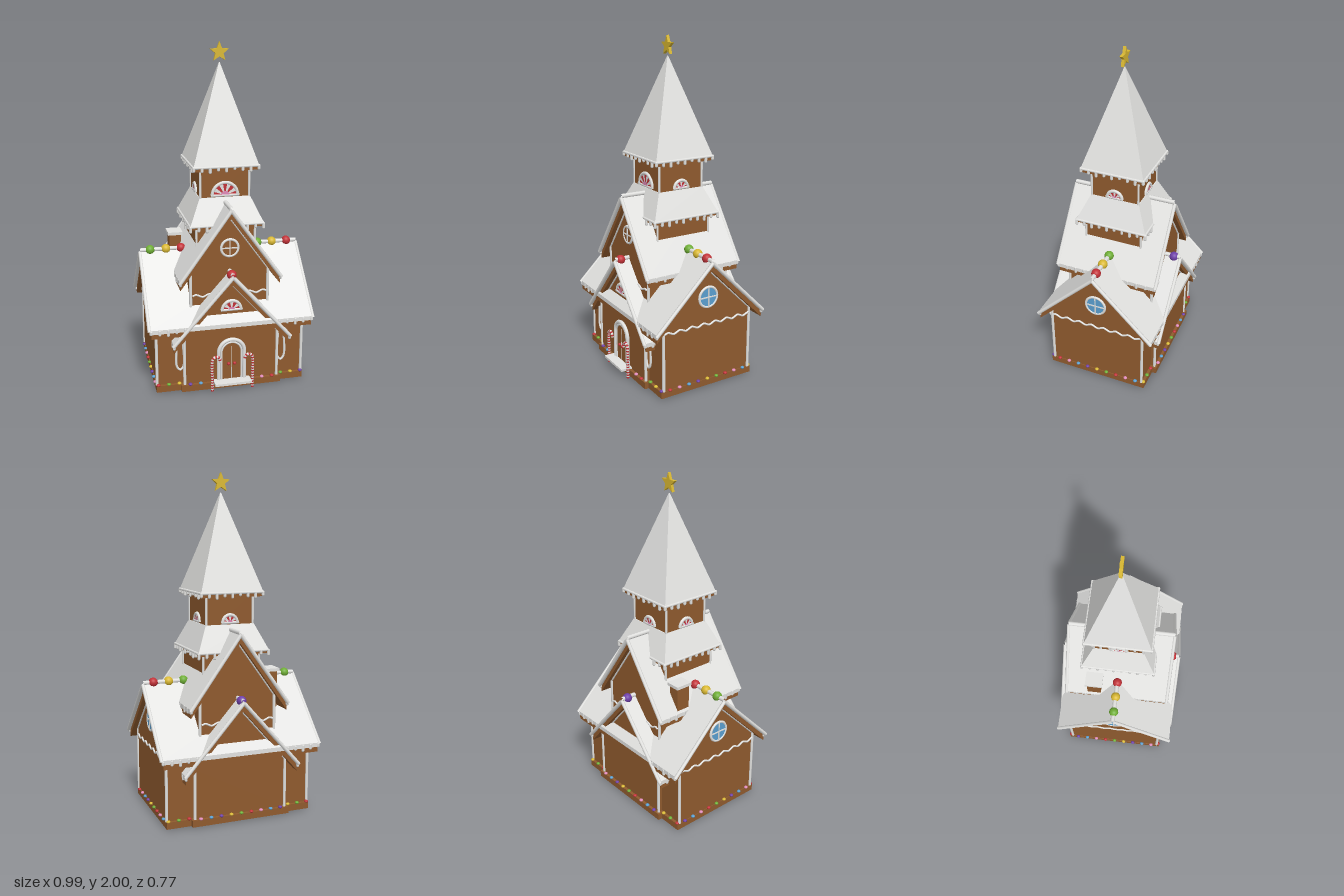
import * as THREE from 'three';
import { mergeGeometries } from 'three/addons/utils/BufferGeometryUtils.js';

export function createModel() {
  const mat = (name, color, side = THREE.FrontSide) => {
    const m = new THREE.MeshStandardMaterial({ color, side });
    m.name = name;
    return m;
  };
  const icing = mat('icing', 0xe2e2e0), bread = mat('gingerbread', 0x8f5a2e), red = mat('red candy', 0xc23238);
  const green = mat('green candy', 0x6fae35), yellow = mat('yellow candy', 0xd9b832), purple = mat('purple candy', 0x6e3fa8);
  const blue = mat('blue glaze', 0x5a9fd0), pink = mat('pink candy', 0xe08ab8);
  const candy = [red, green, yellow, purple, blue, pink];
  const V = (x, y, z) => new THREE.Vector3(x, y, z);

  const root = new THREE.Group();
  const house = new THREE.Group();
  house.name = 'house';
  house.position.z = -0.01;
  root.add(house);

  const add = (parent, name, geo, material, x = 0, y = 0, z = 0) => {
    const m = new THREE.Mesh(geo, material);
    m.name = name;
    m.position.set(x, y, z);
    parent.add(m);
    return m;
  };
  const group = (name, ry = 0, parent = house) => {
    const g = new THREE.Group();
    g.name = name;
    g.rotation.y = ry;
    parent.add(g);
    return g;
  };
  const box = (p, name, m, w, h, d, x, y, z) => add(p, name, new THREE.BoxGeometry(w, h, d), m, x, y, z);
  const tube = (p, name, pts, r, m = icing, seg = 1) => {
    const curve = pts.length === 2 ? new THREE.LineCurve3(...pts) : new THREE.CatmullRomCurve3(pts);
    return add(p, name, new THREE.TubeGeometry(curve, pts.length === 2 ? 1 : seg, r, 8), m);
  };
  // extruded polygon centred along z
  const prism = (pts, depth) => new THREE.ExtrudeGeometry(new THREE.Shape(pts.map(([x, y]) => new THREE.Vector2(x, y))),
    { depth, bevelEnabled: false }).translate(0, 0, -depth / 2);
  // four-sided frustum with flat faces
  const frustum = (top, bottom, h) => {
    const g = new THREE.CylinderGeometry(top * Math.SQRT2, bottom * Math.SQRT2, h, 4).rotateY(Math.PI / 4).toNonIndexed();
    g.computeVertexNormals();
    return g;
  };
  // drips of varying length hanging between two points
  const drips = (p, a, b, step = 0.055) => {
    const n = Math.max(1, Math.round(a.distanceTo(b) / step)), parts = [];
    for (let i = 0; i <= n; i++) {
      const q = a.clone().lerp(b, i / n), len = 0.012 + 0.016 * ((i * 7 % 5) / 4);
      parts.push(new THREE.CapsuleGeometry(0.009, len, 3, 8).translate(q.x, q.y - len / 2, q.z));
    }
    add(p, 'icingDrips', mergeGeometries(parts), icing);
  };
  // wavy piped garland along local x
  const garland = (p, x0, x1, y, z) => {
    const n = Math.round((x1 - x0) / 0.02);
    const pts = Array.from({ length: n + 1 }, (_, i) => V(x0 + (x1 - x0) * i / n, y + 0.008 * Math.sin(i * 1.57), z));
    tube(p, 'icingGarland', pts, 0.006, icing, n * 2);
  };

  // gabled block along local z: walls, bread roof boards, icing layer and piped edges
  function gable(name, ry, { wall, base, len, span, eave, ridge, roofLen }) {
    const g = group(name, ry), s = (ridge - eave) / span, board = ridge - 0.025, under = ridge - 0.06;
    add(g, 'walls', prism([[-wall, base], [wall, base], [wall, under - s * wall], [0, under], [-wall, under - s * wall]], len), bread);
    const chevron = (top, bot, w, l) => prism([[-w, top - s * w], [-w, bot - s * w], [0, bot], [w, bot - s * w], [w, top - s * w], [0, top]], l);
    add(g, 'roofBoards', chevron(board, under, span - 0.005, roofLen - 0.02), bread);
    add(g, 'roofIcing', chevron(ridge, board, span, roofLen), icing);
    tube(g, 'ridgeIcing', [V(0, ridge, -roofLen / 2), V(0, ridge, roofLen / 2)], 0.013);
    for (const e of [-1, 1]) for (const q of [-1, 1]) {
      const z = e * roofLen / 2;
      tube(g, 'edgeIcing', [V(0, ridge - 0.01, z), V(q * span, eave - 0.01, z)], 0.011);
      tube(g, 'gableIcing', [V(0, under, e * len / 2), V(q * wall, under - s * wall, e * len / 2)], 0.007);
      tube(g, 'cornerIcing', [V(q * wall, base, e * len / 2), V(q * wall, under - s * wall, e * len / 2)], 0.009);
    }
    return g;
  }
  const main = gable('mainBlock', Math.PI / 2, { wall: 0.295, base: 0.05, len: 0.88, span: 0.365, eave: 0.43, ridge: 0.79, roofLen: 0.97 });
  gable('crossWing', 0, { wall: 0.28, base: 0.05, len: 0.64, span: 0.35, eave: 0.325, ridge: 0.72, roofLen: 0.73 });
  const upper = gable('upperDormer', 0, { wall: 0.23, base: 0.45, len: 0.54, span: 0.3, eave: 0.685, ridge: 1.1, roofLen: 0.63 });
  for (const e of [-1, 1]) {
    for (const q of [-1, 1]) {
      drips(house, V(q * 0.475, 0.42, e * 0.36), V(q * 0.28, 0.42, e * 0.36));
      drips(house, V(q * 0.345, 0.315, e * 0.36), V(q * 0.345, 0.315, e * 0.31));
      drips(house, V(q * 0.295, 0.68, e * 0.31), V(q * 0.295, 0.68, e * 0.14));
    }
    garland(group('gableGarland', e * Math.PI / 2), -0.29, 0.29, 0.4, 0.443);
    garland(group('dormerGarland', e > 0 ? 0 : Math.PI, upper), -0.22, 0.22, 0.58, 0.273);
  }

  // round window with rim and cross bars
  function roundWindow(p, y, z, r, pane) {
    const g = group('roundWindow', 0, p);
    g.position.set(0, y, z);
    add(g, 'pane', new THREE.CircleGeometry(r, 28), pane, 0, 0, 0.004);
    add(g, 'rim', new THREE.TorusGeometry(r, 0.008, 8, 32), icing);
    box(g, 'bar', icing, 2 * r, 0.007, 0.008, 0, 0, 0.004);
    box(g, 'bar', icing, 0.007, 2 * r, 0.008, 0, 0, 0.004);
  }
  for (const e of [-1, 1]) roundWindow(group('sideWindow', e * Math.PI / 2), 0.565, 0.442, 0.06, blue);
  roundWindow(upper, 0.86, 0.272, 0.05, bread);

  // half-round candy window; wedges alternate between two colours
  function fanWindow(p, y, z, r, colours, wedges) {
    const g = group('fanWindow', 0, p), geo = new THREE.CircleGeometry(r, wedges * 3, 0, Math.PI);
    g.position.set(0, y, z);
    geo.clearGroups();
    for (let i = 0; i < wedges; i++) geo.addGroup(i * 9, 9, i % 2);
    add(g, 'wedges', geo, colours, 0, 0, 0.004);
    add(g, 'centre', new THREE.CircleGeometry(r * 0.35, 16, 0, Math.PI), pink, 0, 0, 0.007);
    add(g, 'rim', new THREE.TorusGeometry(r, 0.01, 8, 24, Math.PI), icing);
    tube(g, 'sill', [V(-r - 0.01, 0, 0), V(r + 0.01, 0, 0)], 0.009);
  }
  fanWindow(house, 0.5, 0.322, 0.055, [red, icing], 7);

  // tower with skirt roof and spire
  const tower = group('tower');
  box(tower, 'lowerTower', bread, 0.35, 0.4, 0.35, 0, 0.78, 0);
  add(tower, 'skirtBoard', frustum(0.212, 0.212, 0.015), bread, 0, 0.967, 0);
  add(tower, 'skirtRoof', frustum(0.15, 0.22, 0.155), icing, 0, 1.052, 0);
  box(tower, 'upperTower', bread, 0.29, 0.24, 0.29, 0, 1.19, 0);
  add(tower, 'spireBoard', frustum(0.185, 0.185, 0.02), bread, 0, 1.3, 0);
  add(tower, 'spire', frustum(0.002, 0.192, 0.57), icing, 0, 1.6, 0);
  for (let k = 0; k < 4; k++) {
    const side = group('towerSide', k * Math.PI / 2, tower);
    fanWindow(side, 1.14, 0.148, k ? 0.045 : 0.075, [red, icing], k ? 7 : 9);
    drips(side, V(-0.216, 0.975, 0.216), V(0.216, 0.975, 0.216), 0.048);
    drips(side, V(-0.19, 1.315, 0.19), V(0.19, 1.315, 0.19), 0.048);
    tube(side, 'spireEdgeIcing', [V(-0.19, 1.315, 0.19), V(0.19, 1.315, 0.19)], 0.008);
    tube(side, 'skirtEdgeIcing', [V(-0.216, 0.978, 0.216), V(0.216, 0.978, 0.216)], 0.008);
    tube(side, 'towerCornerIcing', [V(0.145, 1.12, 0.145), V(0.145, 1.31, 0.145)], 0.007);
    tube(side, 'lowerCornerIcing', [V(0.175, 0.6, 0.175), V(0.175, 0.965, 0.175)], 0.007);
  }
  const star = Array.from({ length: 10 }, (_, i) => {
    const r = i % 2 ? 0.025 : 0.058, a = Math.PI / 2 + i * Math.PI / 5;
    return [r * Math.cos(a), r * Math.sin(a)];
  });
  add(house, 'star', prism(star, 0.018), yellow, 0, 1.942, 0);

  // chimney
  box(house, 'chimney', bread, 0.07, 0.22, 0.085, -0.255, 0.735, -0.14);
  box(house, 'chimneyCap', icing, 0.09, 0.018, 0.105, -0.255, 0.85, -0.14);

  // gumdrops on the ridges
  const drop = new THREE.SphereGeometry(0.028, 20, 14);
  [[-0.425, green], [-0.33, yellow], [-0.238, red], [0.238, green], [0.33, yellow], [0.423, red]]
    .forEach(([x, m]) => add(house, 'gumdrop', drop, m, x, 0.79, 0));
  add(house, 'gumdrop', drop, red, 0, 0.715, 0.325);
  add(house, 'gumdrop', drop, purple, 0, 0.715, -0.325);

  // hollow base of nested frames
  [[0.445, 0.312], [0.35, 0.235], [0.27, 0.175], [0.18, 0.11]].forEach(([w, d], i) => {
    const t = 0.025;
    for (const s of [-1, 1]) {
      box(house, 'baseFrame', bread, 2 * w, 0.04 - i * 0.004, t, 0, 0.03 + i * 0.002, s * (d - t / 2));
      box(house, 'baseFrame', bread, t, 0.04 - i * 0.004, 2 * d - 2 * t, s * (w - t / 2), 0.03 + i * 0.002, 0);
    }
  });
  for (const s of [-1, 1]) box(house, 'wingBase', bread, 0.6, 0.04, 0.025, 0, 0.03, s * 0.325);
  const ring = add(house, 'innerRing', new THREE.TorusGeometry(0.05, 0.012, 8, 24), yellow, 0, 0.04, 0);
  ring.rotation.x = Math.PI / 2;
  for (const s of [-1, 1]) add(house, 'innerCandy', new THREE.SphereGeometry(0.025, 16, 10), pink, s * 0.1, 0.045, 0);

  // candies around the base
  const button = new THREE.SphereGeometry(0.012, 12, 8).scale(1, 0.7, 1);
  let n = 0;
  const put = (x, z) => add(house, 'baseCandy', button, candy[n++ % candy.length], x, 0.053, z);
  for (const s of [-1, 1]) {
    for (let i = -7; i <= 7; i++) {
      const x = i * 0.062;
      if (s < 0 || Math.abs(x) > 0.13) put(x, s * (Math.abs(x) < 0.3 ? 0.332 : 0.306));
    }
    for (let i = -4; i <= 4; i++) put(s * 0.446, i * 0.064);
  }

  // door with arch, knobs and step
  const door = group('door');
  const arch = (r, h) => {
    const s = new THREE.Shape().moveTo(-r, 0.05).lineTo(r, 0.05).lineTo(r, h).absarc(0, h, r, 0, Math.PI);
    return new THREE.ExtrudeGeometry(s, { depth: 0.008, bevelEnabled: false, curveSegments: 16 });
  };
  add(door, 'doorPanel', arch(0.07, 0.235), bread, 0, 0, 0.32);
  box(door, 'doorSeam', icing, 0.003, 0.22, 0.003, 0, 0.16, 0.329);
  for (const [r, t] of [[0.077, 0.012], [0.06, 0.006]]) {
    add(door, 'archIcing', new THREE.TorusGeometry(r, t, 8, 24, Math.PI), icing, 0, 0.235, 0.328);
    for (const s of [-1, 1]) tube(door, 'jambIcing', [V(s * r, 0.05, 0.328), V(s * r, 0.235, 0.328)], t);
  }
  for (const s of [-1, 1]) add(door, 'knob', new THREE.SphereGeometry(0.01, 12, 8), red, s * 0.018, 0.16, 0.332);
  box(door, 'step', icing, 0.22, 0.014, 0.07, 0, 0.055, 0.355);

  // striped canes beside the door
  for (const s of [-1, 1]) {
    const pts = [V(s * 0.122, 0.005, 0), V(s * 0.122, 0.1, 0), V(s * 0.122, 0.19, 0), V(s * 0.115, 0.213, 0), V(s * 0.098, 0.222, 0), V(s * 0.08, 0.213, 0), V(s * 0.073, 0.19, 0)];
    const geo = new THREE.TubeGeometry(new THREE.CatmullRomCurve3(pts), 32, 0.009, 8);
    for (let i = 0; i < 32; i++) geo.addGroup(i * 48, 48, i % 2);
    add(house, 'candyCane', geo, [red, icing], 0, 0, 0.353);
  }

  // hanging icing loops under the wing eaves
  for (const s of [-1, 1]) {
    const x = s * 0.305, loop = [[-0.018, 0.32], [-0.02, 0.17], [0, 0.145], [0.02, 0.17], [0.018, 0.32]];
    tube(house, 'icingLoop', loop.map(([u, y]) => V(x + u, y, 0.315)), 0.007, icing, 24);
  }
  return root;
}
